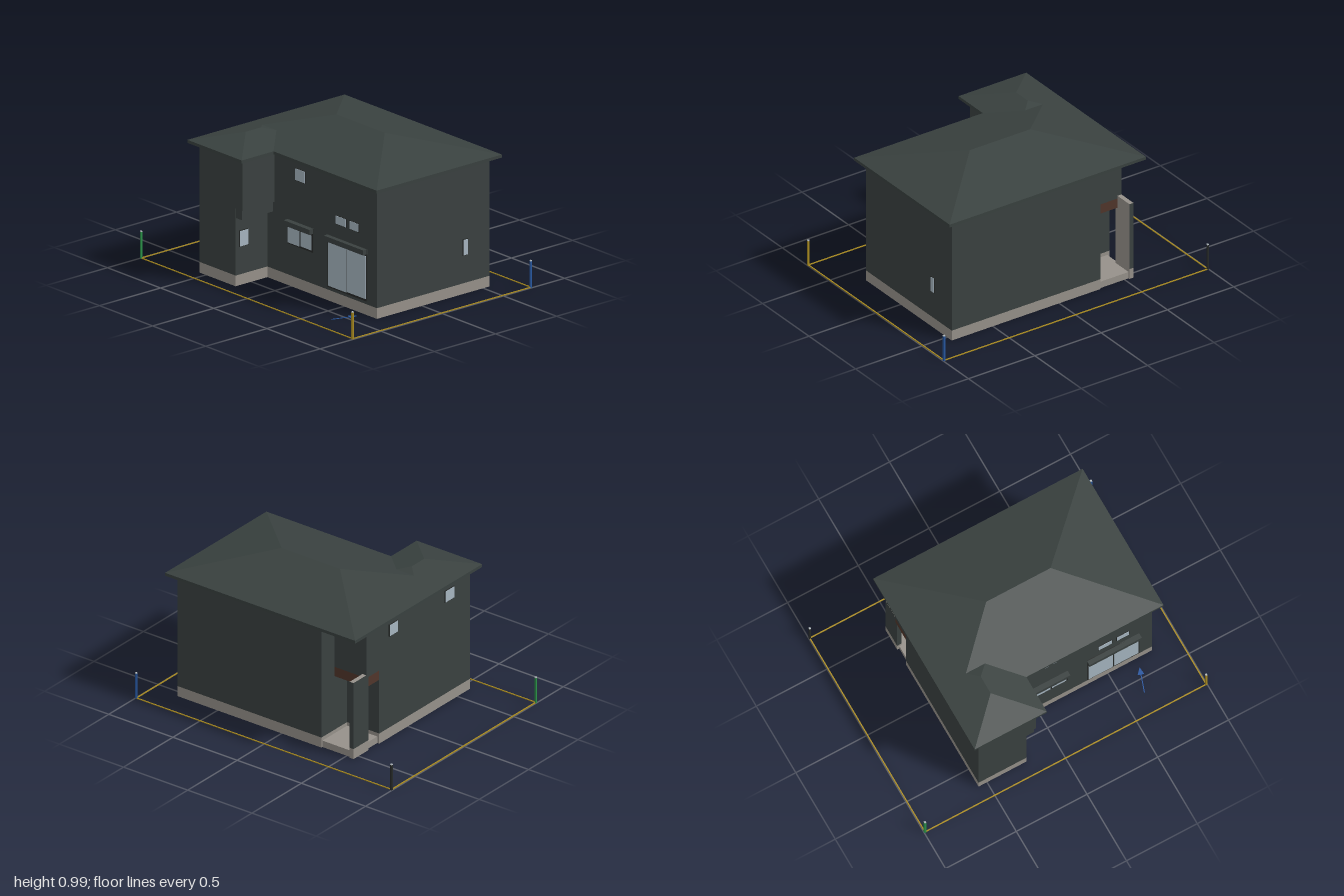
import * as THREE from 'three';

const mat = (name, color, extra = {}) => Object.assign(new THREE.MeshStandardMaterial({ color, ...extra }), { name });

export function createModel() {
  const house = new THREE.Group();
  house.name = 'house';
  const wall = mat('wall charcoal', 0x3a4140);
  const roofing = mat('roof slate', 0x39413f);
  const concrete = mat('concrete', 0x96918a);
  const glass = mat('window glass', 0xa6b5c0);
  const brown = mat('brown wood', 0x50352a);
  const gold = mat('boundary gold', 0xa88a20);
  const blue = mat('blue', 0x2757a0);
  const green = mat('green', 0x2a9148);
  const black = mat('black trim', 0x262928);
  const pale = mat('pale cap', 0xb4bcc0);

  const add = (name, geo, material, parent = house) => {
    const m = new THREE.Mesh(geo, material);
    m.name = name;
    parent.add(m);
    return m;
  };
  // Box given by its minimum and maximum corners
  const box = (name, x0, x1, y0, y1, z0, z1, material, parent) => {
    const m = add(name, new THREE.BoxGeometry(x1 - x0, y1 - y0, z1 - z0), material, parent);
    m.position.set((x0 + x1) / 2, (y0 + y1) / 2, (z0 + z1) / 2);
    return m;
  };
  // Floor plan [x, z] extruded upwards
  const prism = (name, plan, y0, y1, material, hole) => {
    const pts = (p) => p.map(([x, z]) => new THREE.Vector2(x, -z));
    const shape = new THREE.Shape(pts(plan));
    if (hole) shape.holes.push(new THREE.Path(pts(hole)));
    const geo = new THREE.ExtrudeGeometry(shape, { depth: y1 - y0, bevelEnabled: false });
    geo.rotateX(-Math.PI / 2).translate(0, y0, 0);
    return add(name, geo, material);
  };
  // Inward offset of a right-angled, counter-clockwise (seen from above) plan
  const inset = (plan, d) => plan.map((p, i) => {
    const a = plan.at(i - 1), b = plan[(i + 1) % plan.length];
    const normal = (s, e) => [Math.sign(e[1] - s[1]), -Math.sign(e[0] - s[0])];
    const n = normal(a, p), m = normal(p, b);
    return [p[0] + (n[0] + m[0]) * d, p[1] + (n[1] + m[1]) * d];
  });

  // Storeys and foundation
  const lower = [[-0.56, 0.63], [-0.22, 0.63], [-0.22, 0.37], [0.81, 0.37],
    [0.81, -0.55], [-0.31, -0.55], [-0.31, -0.29], [-0.56, -0.29]];
  const upper = [[-0.56, 0.63], [-0.155, 0.63], [-0.155, 0.37], [0.81, 0.37],
    [0.81, -0.55], [-0.31, -0.55], [-0.31, -0.42], [-0.56, -0.42]];
  const inner = inset(lower, 0.035);
  prism('foundation', lower, 0, 0.07, concrete, inner);
  prism('floorUnderside', inner, 0.06, 0.07, brown);
  prism('lowerWalls', lower, 0.07, 0.51, wall);
  prism('upperWalls', upper, 0.51, 0.86, wall);
  box('wingOverhang', -0.22, -0.165, 0.445, 0.51, 0.37, 0.625, wall);

  // Recessed corner porch
  box('porchBeam', -0.56, -0.31, 0.445, 0.51, -0.42, -0.29, brown);
  box('porchSoffit', -0.56, -0.31, 0.836, 0.844, -0.55, -0.42, brown);
  box('porchSlab', -0.545, -0.31, 0, 0.045, -0.54, -0.29, concrete);
  box('porchCurb', -0.56, -0.53, 0, 0.07, -0.55, -0.40, concrete);
  box('porchScreen', -0.56, -0.53, 0.07, 0.53, -0.55, -0.40,
    [concrete, wall, concrete, concrete, wall, wall]);

  // Hip roof with a fascia, equal slope on all sides
  const hipRoof = (name, x0, x1, z0, z1) => {
    const y0 = 0.845, y1 = 0.865, half = Math.min(x1 - x0, z1 - z0) / 2;
    const top = y1 + half * 0.2427;
    const alongX = x1 - x0 > z1 - z0;
    const ring = (y) => [[x0, y, z1], [x1, y, z1], [x1, y, z0], [x0, y, z0]];
    const low = ring(y0), eave = ring(y1);
    const inX = [x0 + half, x1 - half], inZ = [z0 + half, z1 - half];
    const ridge = [[inX[0], top, inZ[1]], [inX[1], top, inZ[1]], [inX[1], top, inZ[0]], [inX[0], top, inZ[0]]];
    const pos = [];
    const tri = (...p) => p.forEach((v) => pos.push(...v));
    for (let i = 0; i < 4; i++) {
      const j = (i + 1) % 4;
      tri(low[i], low[j], eave[j]);
      tri(low[i], eave[j], eave[i]);
      tri(eave[i], eave[j], ridge[j]);
      if ((i % 2 === 0) === alongX) tri(eave[i], ridge[j], ridge[i]);
    }
    tri(low[0], low[2], low[1]);
    tri(low[0], low[3], low[2]);
    const geo = new THREE.BufferGeometry();
    geo.setAttribute('position', new THREE.Float32BufferAttribute(pos, 3));
    geo.computeVertexNormals();
    add(name, geo, roofing);
  };
  hipRoof('mainRoof', -0.615, 0.865, -0.605, 0.42);
  hipRoof('wingRoof', -0.615, -0.105, 0.045, 0.68);

  // Windows: u runs along the wall, each pane is [u0, u1, y0, y1]
  const windowOn = (name, angle, offset, panes, frame, hood) => {
    const g = new THREE.Group();
    g.name = name;
    const [a, b, c, d] = frame;
    box('frame', a, b, c, d, offset - 0.002, offset + 0.005, black, g);
    for (const [u0, u1, y0, y1] of panes) box('pane', u0, u1, y0, y1, offset, offset + 0.008, glass, g);
    if (hood) box('shutterBox', a, b, d - 0.033, d, offset, offset + 0.035, wall, g);
    g.rotation.y = angle;
    house.add(g);
  };
  const plain = (name, angle, offset, u0, u1, y0, y1) => windowOn(name, angle, offset, [[u0, u1, y0, y1]],
    [u0 - 0.004, u1 + 0.004, y0 - 0.004, y1 + 0.004]);
  const R = Math.PI / 2;
  plain('upperFrontWindow', 0, 0.37, 0.05, 0.14, 0.71, 0.785);
  plain('middleFrontWindowA', 0, 0.37, 0.432, 0.524, 0.525, 0.577);
  plain('middleFrontWindowB', 0, 0.37, 0.56, 0.645, 0.525, 0.577);
  windowOn('slidingWindow', 0, 0.37, [[-0.02, 0.09, 0.283, 0.395], [0.1, 0.203, 0.288, 0.385]],
    [-0.028, 0.215, 0.275, 0.432], true);
  windowOn('terraceDoor', 0, 0.37, [[0.36, 0.53, 0.1, 0.397], [0.54, 0.712, 0.105, 0.385]],
    [0.35, 0.72, 0.09, 0.432], true);
  plain('rightSideWindow', R, 0.81, 0.335, 0.367, 0.255, 0.355);
  plain('wingSideWindow', R, -0.22, -0.6, -0.53, 0.255, 0.355);
  plain('leftSideWindowBack', -R, 0.56, -0.19, -0.11, 0.71, 0.785);
  plain('leftSideWindowFront', -R, 0.56, 0.375, 0.46, 0.71, 0.785);

  // Plot boundary: lines and corner stakes
  const X = 0.994, Z = 0.729, w = 0.004;
  for (const s of [-1, 1]) {
    box('boundaryLineX', -X, X, 0, 0.005, s * Z - w, s * Z + w, gold);
    box('boundaryLineZ', s * X - w, s * X + w, 0, 0.005, -Z, Z, gold);
  }
  for (const [sx, sz, m] of [[-1, 1, green], [1, 1, gold], [1, -1, blue], [-1, -1, black]]) {
    const r = 0.006, x = sx * X, z = sz * Z;
    box('cornerStake', x - r, x + r, 0, 0.174, z - r, z + r, m);
    box('stakeCap', x - r, x + r, 0.174, 0.18, z - r, z + r, pale);
  }

  // Flat direction arrow on the ground, pointing to the back
  const arrow = new THREE.Shape([[-0.003, 0], [0.003, 0], [0.003, 0.12], [0.021, 0.12],
    [0, 0.168], [-0.021, 0.12], [-0.003, 0.12]].map(([x, y]) => new THREE.Vector2(x, y)));
  const arrowGeo = new THREE.ExtrudeGeometry(arrow, { depth: 0.003, bevelEnabled: false });
  arrowGeo.rotateX(-R).rotateY(-0.33).translate(0.635, 0, 0.59);
  add('directionArrow', arrowGeo, blue);

  return house;
}
